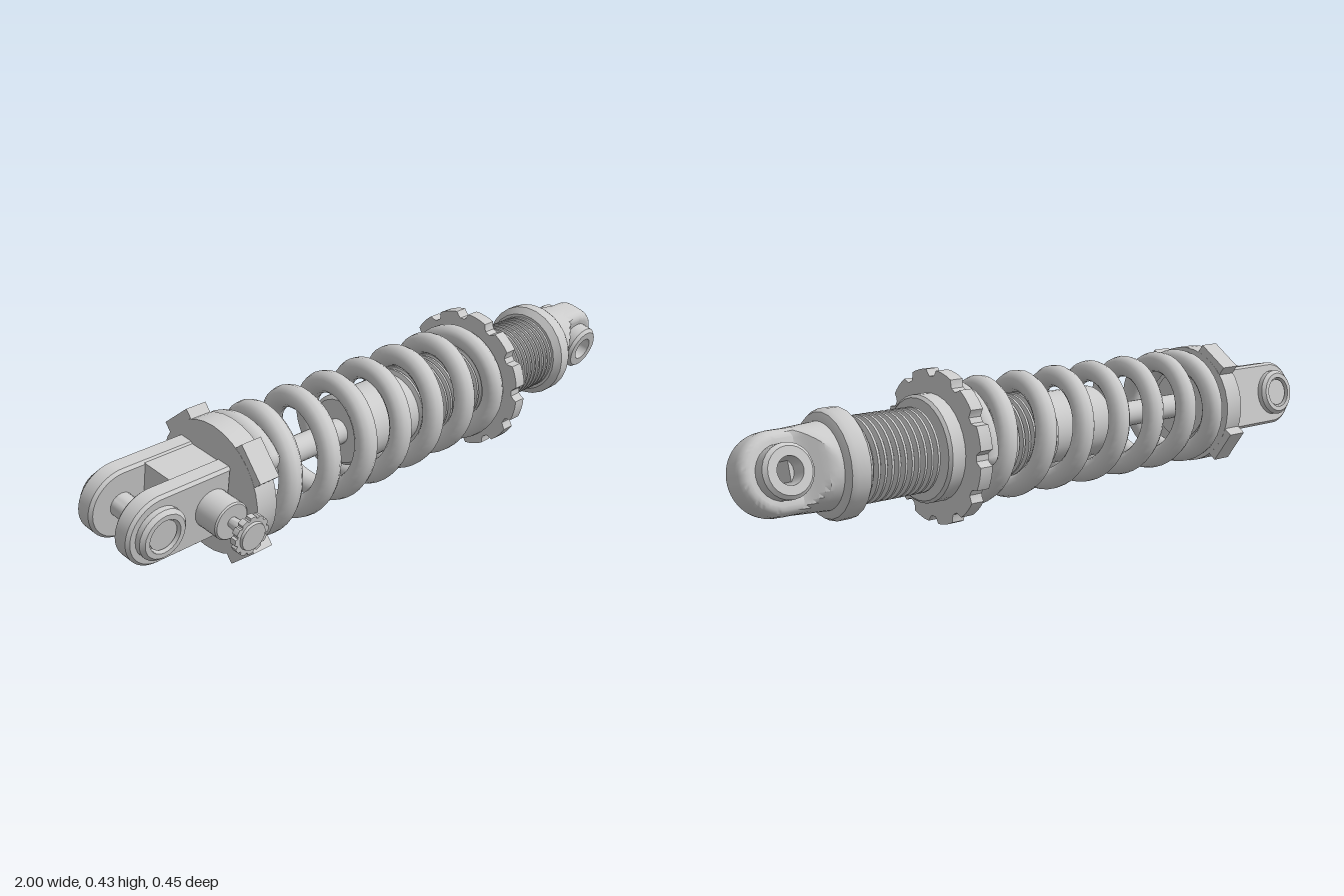
import * as THREE from 'three';
import { toCreasedNormals } from 'three/addons/utils/BufferGeometryUtils.js';

const grey = new THREE.MeshStandardMaterial({ color: 0xcccccc });

function add(parent, name, geometry, crease = 0.6) {
  const mesh = new THREE.Mesh(toCreasedNormals(geometry, crease), grey);
  mesh.name = name;
  parent.add(mesh);
  return mesh;
}

// Turned part around the x axis; profile is [x, radius] pairs
function turned(profile, sides = 32) {
  const points = profile.map(([x, r]) => new THREE.Vector2(r, x));
  return new THREE.LatheGeometry(points, sides).rotateZ(-Math.PI / 2);
}

// Turned part around a line parallel to z at (x, 0); profile is [z, radius] pairs
function turnedZ(profile, x, sides = 24) {
  const points = profile.map(([z, r]) => new THREE.Vector2(r, z));
  return new THREE.LatheGeometry(points, sides).rotateX(Math.PI / 2).translate(x, 0, 0);
}

// Ring with an open bore, axis along z
const ringZ = (x, z0, z1, outer, inner) => turnedZ([
  [z0, inner], [z0, outer - 0.01], [z0 + 0.01, outer], [z1 - 0.01, outer],
  [z1, outer - 0.01], [z1, inner], [z0, inner]], x);

// Flat bar from x0 with a round end centred on x1
function roundedBar(x0, x1, r) {
  const s = new THREE.Shape();
  const right = x1 > x0;
  s.moveTo(x0, right ? -r : r);
  s.lineTo(x1, right ? -r : r);
  s.absarc(x1, 0, r, right ? -Math.PI / 2 : Math.PI / 2, right ? Math.PI / 2 : Math.PI * 1.5, false);
  s.lineTo(x0, right ? r : -r);
  s.closePath();
  return s;
}

// Disc with evenly spaced notches
function notchedDisc(count, outer, inner, phase, thickness) {
  const s = new THREE.Shape();
  const step = (Math.PI * 2) / count;
  const outline = [[-0.3, outer], [-0.15, outer * 1.004], [0, outer * 1.004], [0.15, outer * 1.004],
    [0.3, outer], [0.36, inner + (outer - inner) * 0.35], [0.42, inner], [0.58, inner],
    [0.64, inner + (outer - inner) * 0.35]];
  for (let i = 0; i < count; i++) {
    for (const [t, r] of outline) {
      const a = phase + (i + t) * step;
      if (i === 0 && t === -0.3) s.moveTo(Math.cos(a) * r, Math.sin(a) * r);
      else s.lineTo(Math.cos(a) * r, Math.sin(a) * r);
    }
  }
  s.closePath();
  return new THREE.ExtrudeGeometry(s, { depth: thickness, bevelEnabled: false });
}

// Coil around x, with the ends flattened against their seats
class Coil extends THREE.Curve {
  getPoint(t, target = new THREE.Vector3()) {
    const x = -0.66 + 1.06 * t;
    const a = Math.PI / 2 + (Math.PI * 2 * (x + 0.495)) / 0.143;
    return target.set(THREE.MathUtils.clamp(x, -0.583, 0.323), Math.sin(a) * 0.149, Math.cos(a) * 0.149);
  }
}

export function createModel() {
  const model = new THREE.Group();
  model.name = 'coilOverShock';
  const axis = new THREE.Group();
  axis.name = 'shockBody';
  axis.position.set(0, 0.217, -0.012);
  model.add(axis);

  // Piston rod and damper tube
  add(axis, 'pistonRod', turned([[-0.64, 0], [-0.64, 0.038], [-0.15, 0.038], [-0.15, 0]], 20));
  add(axis, 'damperTube', turned([[-0.2, 0], [-0.2, 0.095], [-0.19, 0.106], [0.03, 0.106], [0.03, 0]]));

  // Threaded sleeve
  const thread = [[0.02, 0], [0.02, 0.104]];
  for (let x = 0.03; x < 0.67; x += 0.021) {
    thread.push([x, 0.106], [x + 0.005, 0.119], [x + 0.012, 0.119], [x + 0.017, 0.106]);
  }
  thread.push([0.69, 0.106], [0.69, 0]);
  add(axis, 'threadedSleeve', turned(thread));

  // Spring with closed ends
  const coil = new Coil();
  add(axis, 'spring', new THREE.TubeGeometry(coil, 300, 0.032, 12, false), 1);
  for (const t of [0, 1]) {
    const p = coil.getPoint(t);
    add(axis, 'springEnd', new THREE.SphereGeometry(0.032, 12, 8).translate(p.x, p.y, p.z), 1);
  }

  // Preload nut: notched flange and hub
  add(axis, 'preloadFlange',
    notchedDisc(12, 0.215, 0.196, Math.PI / 12, 0.04).rotateY(Math.PI / 2).translate(0.355, 0, 0));
  add(axis, 'preloadHub', turned([[0.39, 0], [0.39, 0.15], [0.437, 0.15], [0.445, 0.142], [0.445, 0]]));

  // End collar
  add(axis, 'endCollar', turned([[0.672, 0], [0.672, 0.128], [0.69, 0.148], [0.728, 0.148],
    [0.742, 0.14], [0.75, 0.122], [0.75, 0]], 24));

  // Eye end, rolled slightly about the long axis
  const eye = new THREE.Group();
  eye.name = 'eyeEnd';
  eye.rotation.x = THREE.MathUtils.degToRad(16);
  axis.add(eye);
  const neck = new THREE.CylinderGeometry(0.11, 0.118, 0.13, 40, 10).rotateZ(-Math.PI / 2).translate(0.8, 0, 0);
  const pos = neck.attributes.position;
  for (let i = 0; i < pos.count; i++) {
    // Sides sweep inward to the thickness of the eye
    const k = THREE.MathUtils.smoothstep(pos.getX(i), 0.755, 0.86);
    const w = THREE.MathUtils.lerp(0.118, 0.046, k);
    pos.setZ(i, THREE.MathUtils.clamp(pos.getZ(i), -w, w));
  }
  add(eye, 'eyeNeck', neck);
  const eyeShape = roundedBar(0.76, 0.89, 0.11);
  eyeShape.holes.push(new THREE.Path().absarc(0.89, 0, 0.04, 0, Math.PI * 2, true));
  add(eye, 'eyeRing', new THREE.ExtrudeGeometry(eyeShape, {
    depth: 0.04, bevelThickness: 0.032, bevelSize: 0.025, bevelOffset: -0.025, bevelSegments: 4, curveSegments: 20,
  }).translate(0, 0, -0.02), 0.7);
  add(eye, 'eyeBushing', ringZ(0.89, -0.098, 0.098, 0.072, 0.037));

  // Clevis end, rolled slightly about the long axis
  const clevis = new THREE.Group();
  clevis.name = 'clevisEnd';
  clevis.rotation.x = THREE.MathUtils.degToRad(10);
  axis.add(clevis);

  // Spring seat with four tabs
  add(clevis, 'springSeat', turned([[-0.68, 0], [-0.68, 0.185], [-0.615, 0.185], [-0.615, 0]], 32));
  for (let i = 0; i < 4; i++) {
    add(clevis, 'seatTab', new THREE.BoxGeometry(0.064, 0.1, 0.11)
      .translate(-0.6475, 0.155, 0).rotateX(Math.PI / 4 + (i * Math.PI) / 2));
  }
  add(clevis, 'seatStep', turned([[-0.62, 0], [-0.62, 0.115], [-0.59, 0.105], [-0.59, 0]]));

  // Fork: block, two prongs, bosses and cross pin
  const fork = new THREE.Group();
  fork.name = 'fork';
  fork.position.z = -0.026;
  clevis.add(fork);
  add(fork, 'forkBlock', new THREE.BoxGeometry(0.16, 0.19, 0.18).translate(-0.755, 0, 0));
  for (const side of [-1, 1]) {
    add(fork, 'forkProng', new THREE.ExtrudeGeometry(roundedBar(-0.675, -0.9, 0.1), {
      depth: 0.04, bevelThickness: 0.008, bevelSize: 0.008, bevelOffset: -0.008, bevelSegments: 1, curveSegments: 14,
    }).translate(0, 0, side * 0.073 - 0.02));
    const z = side * 0.11;
    add(fork, 'pinBoss', ringZ(-0.905, z - 0.018, z + 0.018, 0.072, 0.048));
  }
  add(fork, 'crossPin', turnedZ([[-0.12, 0], [-0.12, 0.042], [-0.06, 0.042], [-0.06, 0.034],
    [0.06, 0.034], [0.06, 0.042], [0.12, 0.042], [0.12, 0]], -0.905));

  // Damping adjuster on the front of the fork block
  add(clevis, 'adjusterBoss', turnedZ([[0.04, 0], [0.04, 0.054], [0.148, 0.054], [0.152, 0.05], [0.152, 0]], -0.735));
  add(clevis, 'adjusterStem', turnedZ([[0.14, 0], [0.14, 0.013], [0.195, 0.02], [0.21, 0.035], [0.21, 0]], -0.735, 16));
  add(clevis, 'adjusterKnob', notchedDisc(12, 0.055, 0.049, 0, 0.018).translate(-0.735, 0, 0.208));
  add(clevis, 'knobCap', turnedZ([[0.22, 0], [0.22, 0.042], [0.233, 0.038], [0.233, 0]], -0.735));

  return model;
}
